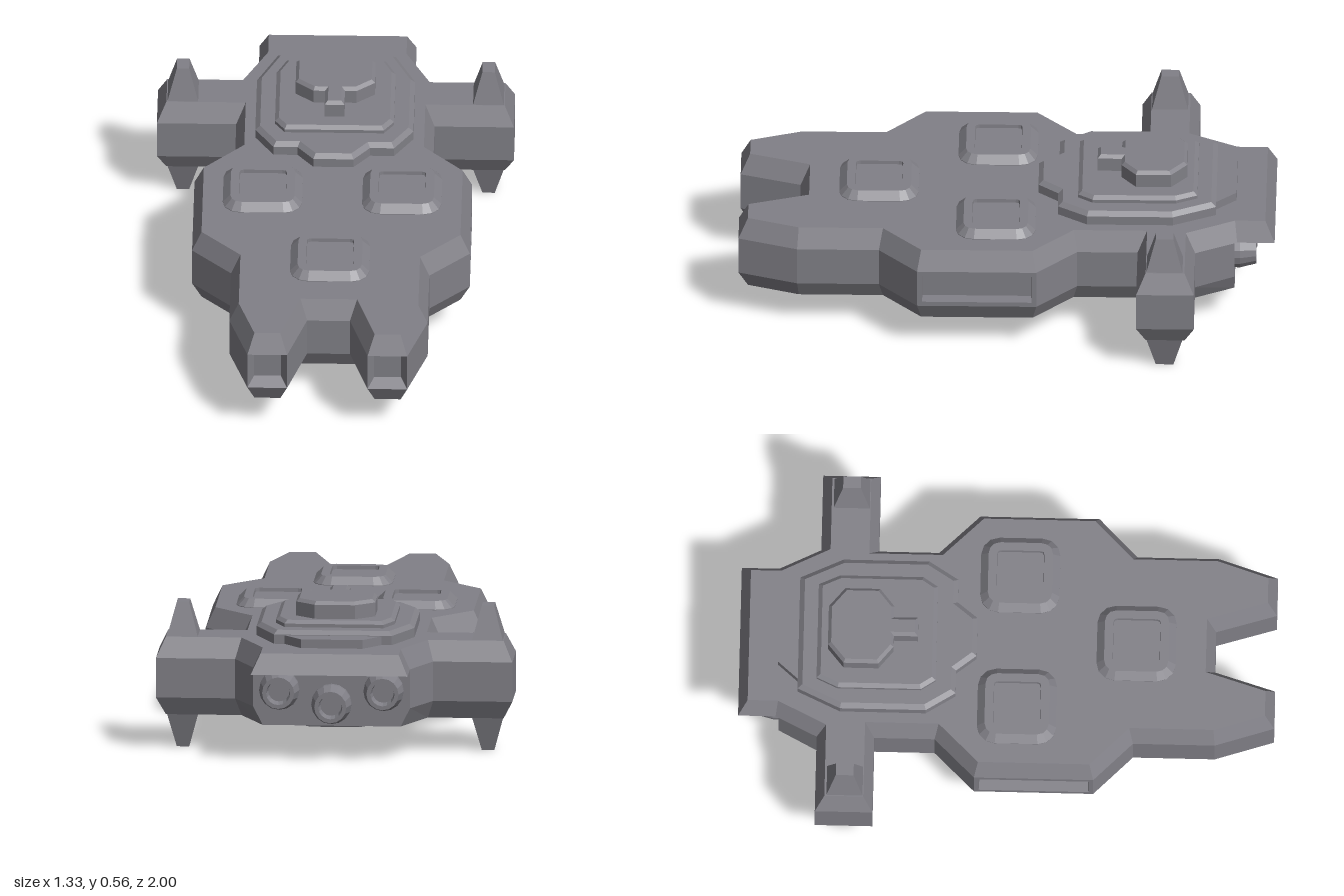
import * as THREE from 'three';

const material = new THREE.MeshStandardMaterial({ color: 0x818087, flatShading: true });

// Full plan outline from its +x half, listed from back to front as [x, z]
const mirrored = (half) => [...half, ...half.map(([x, z]) => [-x, z]).reverse()];

// Mitred inset of a closed plan outline
function inset(pts, d) {
  const n = pts.length;
  const normal = (a, b) => {
    const dx = b[0] - a[0], dz = b[1] - a[1], l = Math.hypot(dx, dz);
    return [dz / l, -dx / l];
  };
  return pts.map((p, i) => {
    const a = normal(pts[(i + n - 1) % n], p), b = normal(p, pts[(i + 1) % n]);
    const k = d / (1 + a[0] * b[0] + a[1] * b[1]);
    return [p[0] - (a[0] + b[0]) * k, p[1] - (a[1] + b[1]) * k];
  });
}

// Stack of [y, inset] layers over one outline, capped at both ends.
// hollowAt(band, edge) gives [rim, slope] for a hollowed wall; minZ cuts the back off flat.
function loft(name, outline, layers, { hollowAt = () => undefined, minZ = -Infinity } = {}) {
  const pos = [];
  const tri = (...v) => v.forEach((p) => pos.push(p.x, p.y, p.z));
  const quad = (a, b, c, d) => { tri(a, b, c); tri(a, c, d); };
  const rings = layers.map(([y, d]) =>
    inset(outline, d).map(([x, z]) => new THREE.Vector3(x, y, Math.max(z, minZ))));
  const n = outline.length;

  const hollow = (corners, [rimWidth, slope]) => {
    const along = corners[3].clone().sub(corners[0]).normalize();
    const up = new THREE.Vector3(0, 1, 0);
    const inward = along.clone().cross(up);
    const shrink = (q, s, depth) => q.map((p, i) => p.clone()
      .addScaledVector(along, i < 2 ? s : -s)
      .addScaledVector(up, i === 0 || i === 3 ? s : -s)
      .addScaledVector(inward, depth));
    const rim = shrink(corners, rimWidth, 0), floor = shrink(rim, slope, 0.045);
    for (let i = 0; i < 4; i++) {
      const j = (i + 1) % 4;
      quad(corners[i], corners[j], rim[j], rim[i]);
      quad(rim[i], rim[j], floor[j], floor[i]);
    }
    quad(...floor);
  };

  for (let k = 0; k < rings.length - 1; k++) {
    for (let i = 0; i < n; i++) {
      const j = (i + 1) % n;
      const wall = [rings[k][i], rings[k + 1][i], rings[k + 1][j], rings[k][j]];
      const frame = hollowAt(k, i);
      if (frame) hollow(wall, frame);
      else quad(...wall);
    }
  }
  const cap = (ring, up) => {
    const flat = ring.map((p) => new THREE.Vector2(p.x, p.z));
    for (const [a, b, c] of THREE.ShapeUtils.triangulateShape(flat, [])) {
      const cross = flat[b].clone().sub(flat[a]).cross(flat[c].clone().sub(flat[a]));
      if ((cross < 0) === up) tri(ring[a], ring[b], ring[c]);
      else tri(ring[a], ring[c], ring[b]);
    }
  };
  cap(rings[0], false);
  cap(rings[rings.length - 1], true);

  const geometry = new THREE.BufferGeometry();
  geometry.setAttribute('position', new THREE.Float32BufferAttribute(pos, 3));
  geometry.computeVertexNormals();
  const mesh = new THREE.Mesh(geometry, material);
  mesh.name = name;
  return mesh;
}

// Square plan with rounded corners
function roundedSquare(h, r, steps = 3) {
  const pts = [];
  for (let c = 0; c < 4; c++) {
    const mid = -Math.PI / 4 + c * Math.PI / 2;
    const sx = Math.sign(Math.cos(mid)), sz = Math.sign(Math.sin(mid));
    for (let s = 0; s <= steps; s++) {
      const a = mid - Math.PI / 4 + (s / steps) * Math.PI / 2;
      pts.push([sx * (h - r) + r * Math.cos(a), sz * (h - r) + r * Math.sin(a)]);
    }
  }
  return pts;
}

export function createModel() {
  const model = new THREE.Group();
  model.name = 'spaceship';
  const TOP = 0.425, BOTTOM = 0.13;

  // Hull: bevelled slab with two prongs, side wings and an overhanging rear lip
  const plan = mirrored([
    [0.293, -1], [0.293, -0.86], [0.37, -0.705], [0.666, -0.705], [0.666, -0.49],
    [0.37, -0.49], [0.37, -0.265], [0.518, -0.115], [0.518, 0.33], [0.37, 0.475],
    [0.37, 0.78], [0.298, 1], [0.15, 1], [0.08, 0.775],
  ]);
  const sideBay = [0.018, 0.002], prongMouth = [0, 0.024];
  const hollows = { 7: sideBay, 19: sideBay, 11: prongMouth, 15: prongMouth };
  model.add(
    loft('lowerHull', plan, [[BOTTOM, 0.035], [0.2, 0], [0.35, 0]],
      { minZ: -0.85, hollowAt: (band, edge) => (band === 1 ? hollows[edge] : undefined) }),
    loft('upperHull', plan, [[0.35, 0], [TOP, 0.035]]),
  );

  // Stepped deck and keyhole turret
  model.add(
    loft('rearDeckStep', mirrored([[0.115, -0.855], [0.19, -0.77], [0.19, -0.7]]),
      [[0.42, 0], [0.458, 0]]),
    loft('lowerDeck', mirrored([
      [0.22, -0.78], [0.295, -0.62], [0.295, -0.3], [0.225, -0.19], [0.135, -0.19], [0.075, -0.115],
    ]), [[0.42, 0], [0.46, 0], [0.475, 0.018]]),
    loft('upperDeck', mirrored([[0.185, -0.71], [0.222, -0.63], [0.222, -0.32], [0.185, -0.265]]),
      [[0.47, 0], [0.488, 0], [0.5, 0.015]]),
    loft('turret', mirrored([
      [0.075, -0.67], [0.148, -0.61], [0.148, -0.48], [0.08, -0.425], [0.037, -0.425], [0.037, -0.335],
    ]), [[0.49, 0], [0.553, 0], [0.565, 0.012]]),
    loft('bellyPlate', mirrored([
      [0.1, -0.71], [0.185, -0.63], [0.185, -0.47], [0.13, -0.4], [0.1, -0.4], [0.1, -0.26], [0.07, -0.22],
    ]), [[0.093, 0.022], [0.14, 0]]),
  );

  // Hatches and wing fins, repeated on the top and the underside
  for (const side of ['top', 'bottom']) {
    const up = side === 'top';
    const place = (mesh, x, z) => {
      mesh.position.set(x, up ? TOP : BOTTOM, z);
      if (!up) mesh.rotation.z = Math.PI;
      model.add(mesh);
    };
    for (const [x, z] of [[-0.26, 0.04], [0.26, 0.04], [0, 0.48]]) {
      place(loft(side + 'Hatch', roundedSquare(0.148, 0.068),
        [[-0.005, 0], [0.002, 0], [0.03, 0.028], [0.03, 0.06], [0.016, 0.061]]), x, z);
    }
    for (const x of [-0.57, 0.57]) {
      place(loft(side + 'Fin', mirrored([[0.06, -0.07], [0.06, 0.07]]),
        [[-0.01, 0], [up ? 0.125 : 0.13, 0.037]]), x, -0.595);
    }
  }

  // Hollow engine nozzles, the middle one set lower
  const nozzle = new THREE.LatheGeometry(
    [[0.075, -0.02], [0.075, 0.02], [0.06, 0.08], [0.045, 0.08], [0.04, 0.035], [0, 0.035]]
      .map(([r, y]) => new THREE.Vector2(r, y)), 16);
  for (const [x, y] of [[-0.195, 0.267], [0, 0.215], [0.195, 0.267]]) {
    const engine = new THREE.Mesh(nozzle, material);
    engine.name = 'engineNozzle';
    engine.rotation.x = -Math.PI / 2;
    engine.position.set(x, y, -0.85);
    model.add(engine);
  }
  return model;
}
